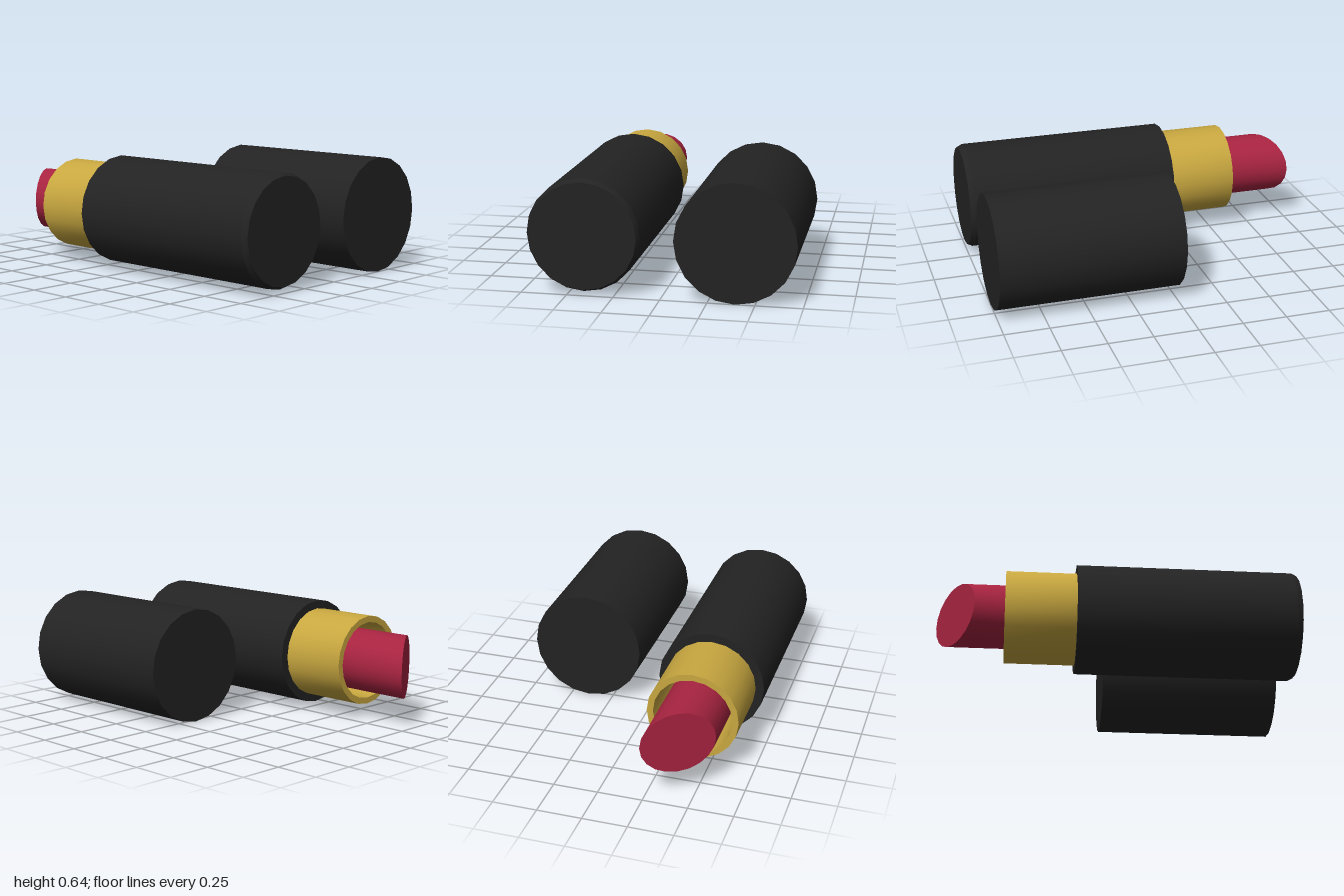
import * as THREE from 'three';
import { toCreasedNormals } from 'three/addons/utils/BufferGeometryUtils.js';

const SIDES = 20;
const AXIS_Y = 0.325;
const TUBE_X = -0.4125;
const CAP_X = 0.395;

const black = new THREE.MeshStandardMaterial({ name: 'black', color: 0x232323 });
const gold = new THREE.MeshStandardMaterial({ name: 'gold', color: 0xc9a840 });
const red = new THREE.MeshStandardMaterial({ name: 'red', color: 0xa92441 });

// Lays an upright geometry down so its top points to -z
function lay(name, geometry, material, x) {
  geometry.rotateX(-Math.PI / 2);
  const mesh = new THREE.Mesh(toCreasedNormals(geometry, 0.42), material);
  mesh.name = name;
  mesh.position.set(x, AXIS_Y, 0);
  return mesh;
}

// Turned part from [radius, height] points, height measured towards -z
function turned(name, points, material, x) {
  const profile = points.map(([r, h]) => new THREE.Vector2(r, h));
  return lay(name, new THREE.LatheGeometry(profile, SIDES), material, x);
}

export function createModel() {
  const group = new THREE.Group();
  group.name = 'lipstick';

  // Base with a small chamfer around its foot
  group.add(turned('base', [
    [0, -1], [0.29, -1], [0.305, -0.97], [0.305, 0.225], [0, 0.225],
  ], black, TUBE_X));

  // Hollow collar
  group.add(turned('collar', [
    [0.2575, 0.2], [0.2575, 0.615], [0.222, 0.615], [0.222, 0.23], [0, 0.23],
  ], gold, TUBE_X));

  // Colour stick, its top sheared to a slanted flat tip
  const radius = 0.1775;
  const stick = new THREE.CylinderGeometry(radius, radius, 1, SIDES);
  const p = stick.attributes.position;
  for (let i = 0; i < p.count; i++) {
    p.setY(i, p.getY(i) > 0 ? 0.89 + (0.11 * p.getX(i)) / radius : 0.225);
  }
  group.add(lay('colourStick', stick, red, TUBE_X));

  // Separate cap lying beside the tube
  group.add(turned('cap', [
    [0, -1], [0.322, -1], [0.322, 0.03], [0, 0.03],
  ], black, CAP_X));

  return group;
}
